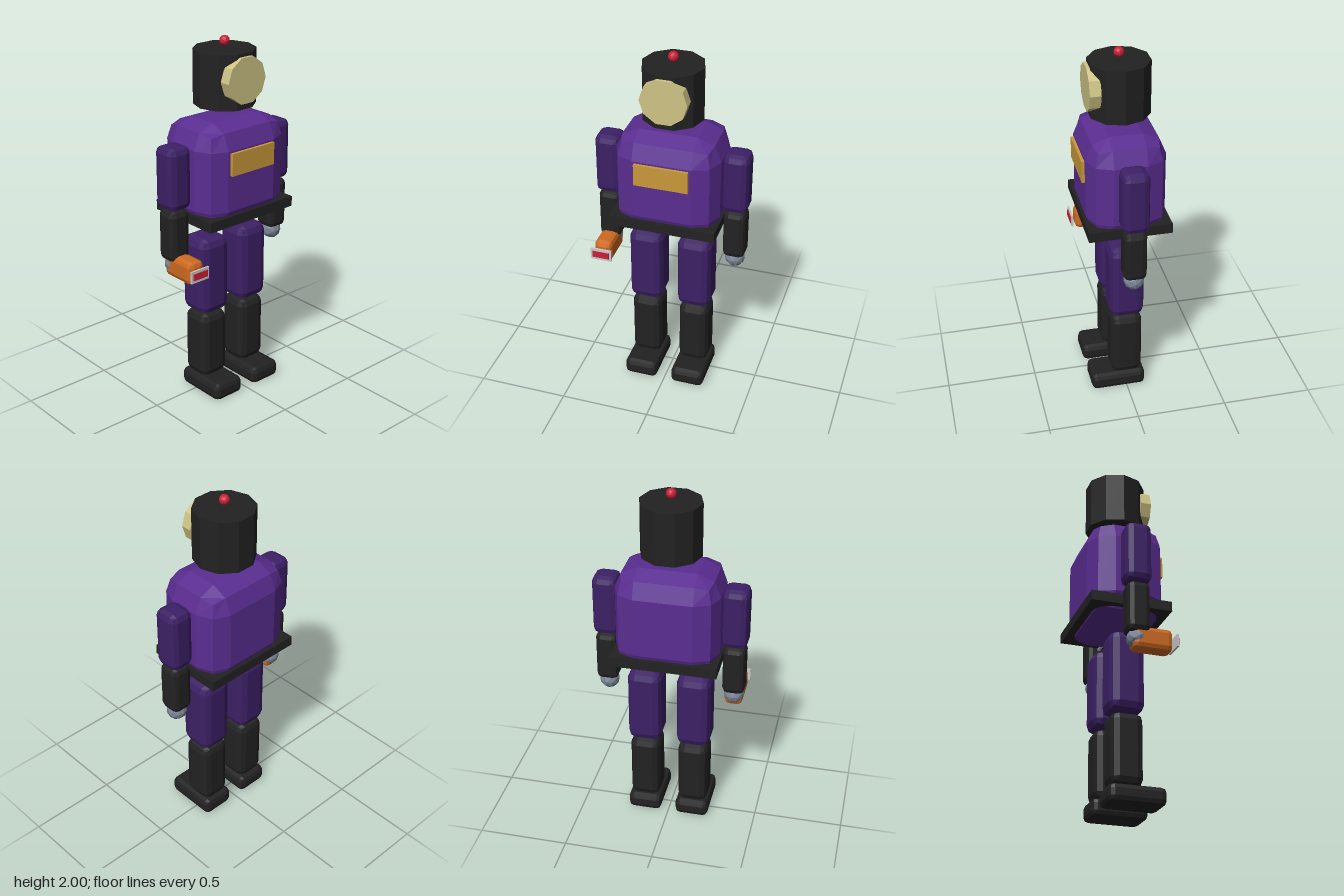
import * as THREE from 'three';
import { RoundedBoxGeometry } from 'three/addons/geometries/RoundedBoxGeometry.js';

const mat = (name, color) =>
  Object.assign(new THREE.MeshStandardMaterial({ color, flatShading: true }), { name });

export function createModel() {
  const black = mat('black', 0x222222);
  const purple = mat('purple', 0x5a2d91);
  const darkPurple = mat('dark purple', 0x3d2066);
  const cream = mat('cream', 0xcec485);
  const gold = mat('gold', 0xc9993a);
  const orange = mat('orange', 0xcf6a22);
  const red = mat('red', 0xcc1f38);
  const steel = mat('steel', 0x7c8696);
  const lightGrey = mat('light grey', 0xcccccc);

  const model = new THREE.Group();
  model.name = 'robot';
  const cx = -0.003; // body axis

  function add(parent, name, geometry, material, x, y, z) {
    const mesh = new THREE.Mesh(geometry, material);
    mesh.name = name;
    mesh.position.set(x, y, z);
    parent.add(mesh);
    return mesh;
  }
  // Chamfered block: one bevel step on each corner
  const block = (w, h, d, r) => new RoundedBoxGeometry(w, h, d, 1, r);

  // Head, with the visor facing +x and a beacon hovering above
  const head = new THREE.Group();
  head.name = 'head';
  model.add(head);
  add(head, 'helmet', new THREE.CylinderGeometry(0.166, 0.166, 0.294, 10), black, cx, 1.787, 0);
  const visor = add(head, 'visor', new THREE.CylinderGeometry(0.127, 0.127, 0.06, 10), cream, 0.143, 1.796, 0);
  visor.rotation.z = -Math.PI / 2;
  add(head, 'beacon', new THREE.IcosahedronGeometry(0.028, 1), red, cx, 1.972, 0);

  // Torso, chest plate, belt and arm rod
  add(model, 'torso', block(0.426, 0.582, 0.568, 0.125), purple, cx, 1.291, 0);
  add(model, 'chestPlate', new THREE.BoxGeometry(0.022, 0.122, 0.292), gold, 0.2155, 1.386, 0);
  add(model, 'belt', new THREE.BoxGeometry(0.448, 0.056, 0.582), black, cx, 1.075, 0);
  const rod = add(model, 'armRod', new THREE.CylinderGeometry(0.009, 0.009, 0.57, 8), lightGrey, cx, 1.035, 0);
  rod.rotation.x = Math.PI / 2;

  // Arms and legs; facing +x, the right side is +z
  for (const [side, s] of [['right', 1], ['left', -1]]) {
    const arm = new THREE.Group();
    arm.name = side + 'Arm';
    arm.position.set(cx, 0, s * 0.352);
    model.add(arm);
    add(arm, 'upperArm', block(0.145, 0.344, 0.14, 0.036), darkPurple, 0, 1.312, 0);
    add(arm, 'forearm', block(0.124, 0.285, 0.122, 0.03), black, 0, 0.992, 0);
    add(arm, 'hand', new THREE.IcosahedronGeometry(0.056, 1), steel, 0, 0.826, 0);

    const leg = new THREE.Group();
    leg.name = side + 'Leg';
    leg.position.set(cx, 0, s * 0.138);
    model.add(leg);
    add(leg, 'thigh', block(0.192, 0.442, 0.19, 0.045), darkPurple, 0, 0.708, 0);
    add(leg, 'shin', block(0.174, 0.386, 0.17, 0.04), black, 0, 0.286, 0);
    add(leg, 'foot', block(0.307, 0.096, 0.19, 0.028), black, 0.05, 0.048, 0);
  }

  // Hand tool in the right hand
  const tool = new THREE.Group();
  tool.name = 'handTool';
  tool.position.set(0, 0.824, 0.351);
  model.add(tool);
  add(tool, 'toolBody', block(0.217, 0.127, 0.1, 0.028), orange, 0.074, 0, 0);
  add(tool, 'muzzlePlate', new THREE.BoxGeometry(0.01, 0.068, 0.118), lightGrey, 0.202, 0, 0);
  add(tool, 'muzzleInset', new THREE.BoxGeometry(0.006, 0.036, 0.094), red, 0.21, 0.001, 0);

  return model;
}
